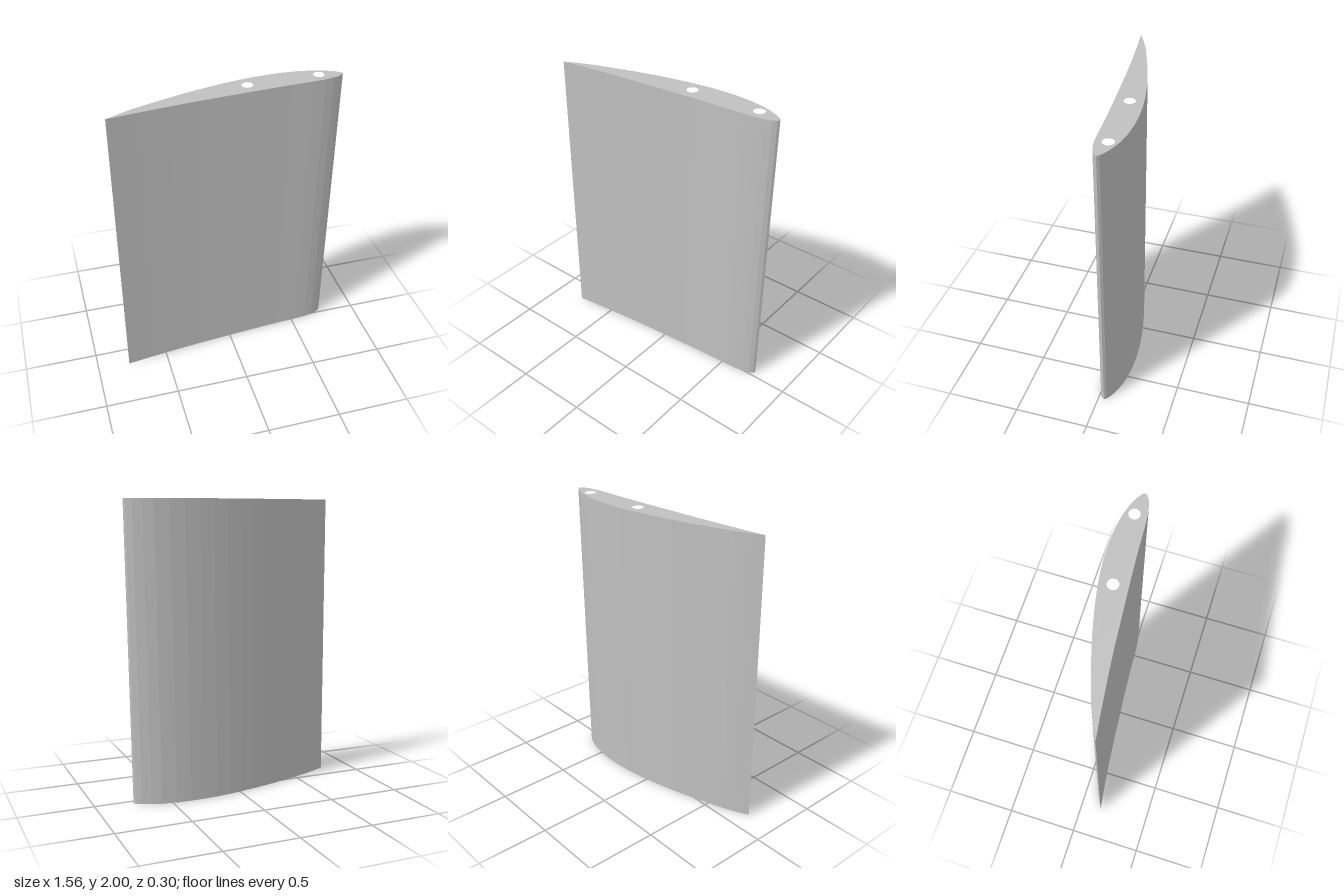
import * as THREE from 'three';

const HEIGHT = 2;
const ROOT_SCALE = 0.98; // chord at the bottom relative to the top
const HOLE_RADIUS = 0.037;
const HOLES = [[0.14, -0.046], [0.62, -0.064]];
const TRAILING = [-0.78, 0.147];

// Section as (x, z): upper surface to the nose, then the lower surface back
const UPPER = [
  [-0.7, 0.107], [-0.6, 0.064], [-0.5, 0.03], [-0.4, -0.002], [-0.3, -0.034], [-0.2, -0.062],
  [-0.1, -0.087], [0, -0.109], [0.1, -0.128], [0.2, -0.142], [0.3, -0.15], [0.4, -0.152],
  [0.5, -0.146], [0.6, -0.13], [0.67, -0.109], [0.73, -0.083], [0.765, -0.06], [0.777, -0.044],
];
const LOWER = [
  [0.768, -0.029], [0.742, -0.012], [0.7, 0.002], [0.64, 0.013], [0.56, 0.02], [0.4, 0.028],
  [0.2, 0.043], [0, 0.06], [-0.2, 0.077], [-0.4, 0.098], [-0.6, 0.122],
];

export function createModel() {
  const model = new THREE.Group();
  model.name = 'wingSection';
  const grey = new THREE.MeshStandardMaterial({ color: 0xc0c0c0 });
  grey.name = 'light grey';

  // Airfoil outline with two spar holes
  const outline = [TRAILING, ...UPPER, ...LOWER].map(([x, z]) => new THREE.Vector2(x, -z));
  const shape = new THREE.Shape(outline);
  for (const [x, z] of HOLES) {
    shape.holes.push(new THREE.Path().absarc(x, -z, HOLE_RADIUS, 0, Math.PI * 2, true));
  }
  const geometry = new THREE.ExtrudeGeometry(shape, {
    depth: HEIGHT, bevelEnabled: false, curveSegments: 24,
  });
  geometry.rotateX(-Math.PI / 2);

  // Taper the skin towards the trailing edge at the bottom; the holes stay straight
  const p = geometry.attributes.position;
  for (let i = 0; i < p.count; i++) {
    const x = p.getX(i), z = p.getZ(i);
    const onHole = HOLES.some(([hx, hz]) => Math.hypot(x - hx, z - hz) < HOLE_RADIUS + 0.002);
    if (onHole || p.getY(i) > HEIGHT / 2) continue;
    p.setX(i, TRAILING[0] + (x - TRAILING[0]) * ROOT_SCALE);
    p.setZ(i, TRAILING[1] + (z - TRAILING[1]) * ROOT_SCALE);
  }
  geometry.computeVertexNormals();

  const wing = new THREE.Mesh(geometry, grey);
  wing.name = 'wing';
  model.add(wing);
  return model;
}
